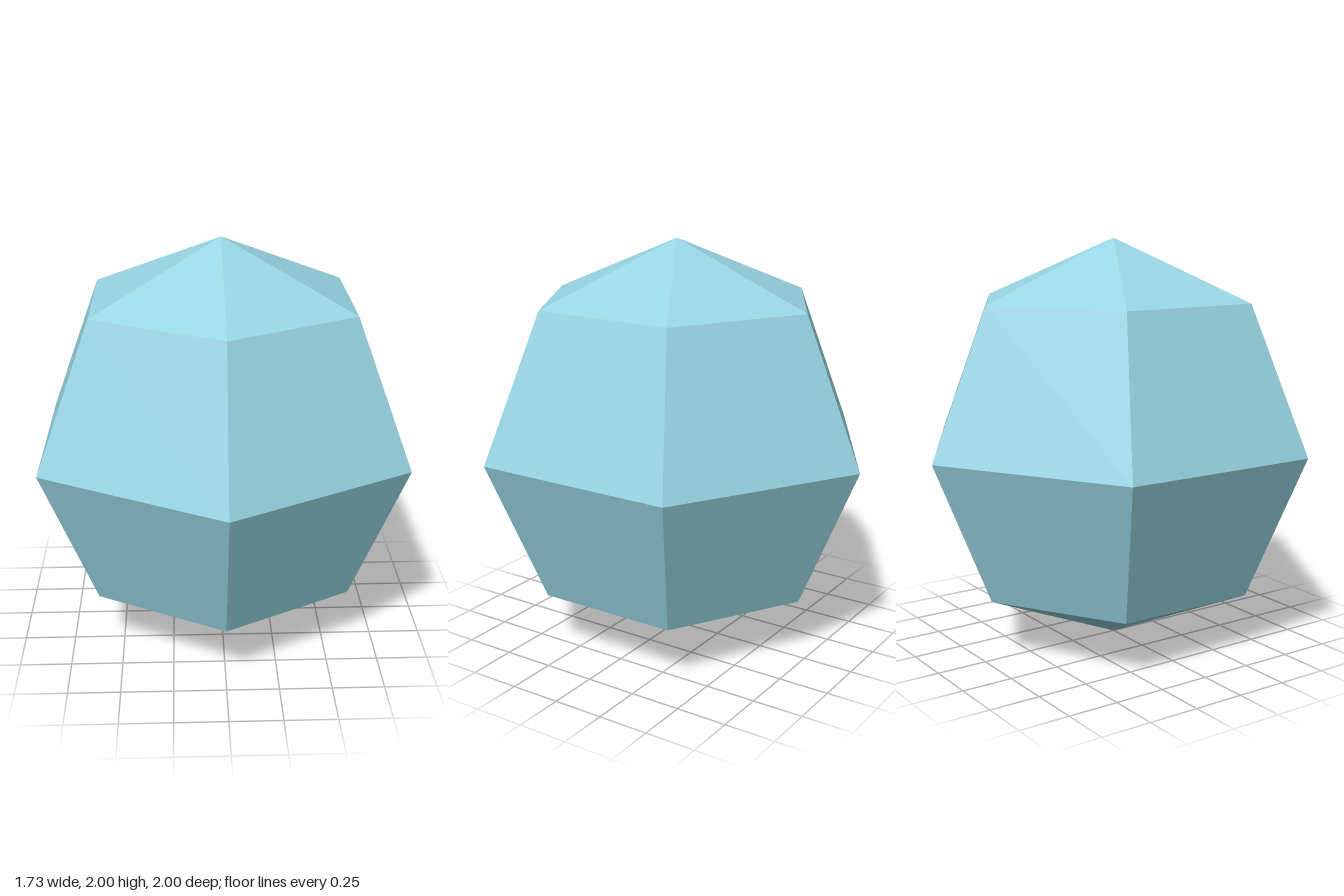
import * as THREE from 'three';

export function createModel() {
  const group = new THREE.Group();
  group.name = 'facetedBall';

  const paleBlue = new THREE.MeshStandardMaterial({ color: 0x98d5e3, flatShading: true });
  paleBlue.name = 'paleBlue';

  // Six sides, four bands, with a corner pointing to the front
  const geometry = new THREE.SphereGeometry(1, 6, 4, Math.PI / 2);
  const ball = new THREE.Mesh(geometry, paleBlue);
  ball.name = 'ball';
  ball.position.y = 1;
  group.add(ball);

  return group;
}
